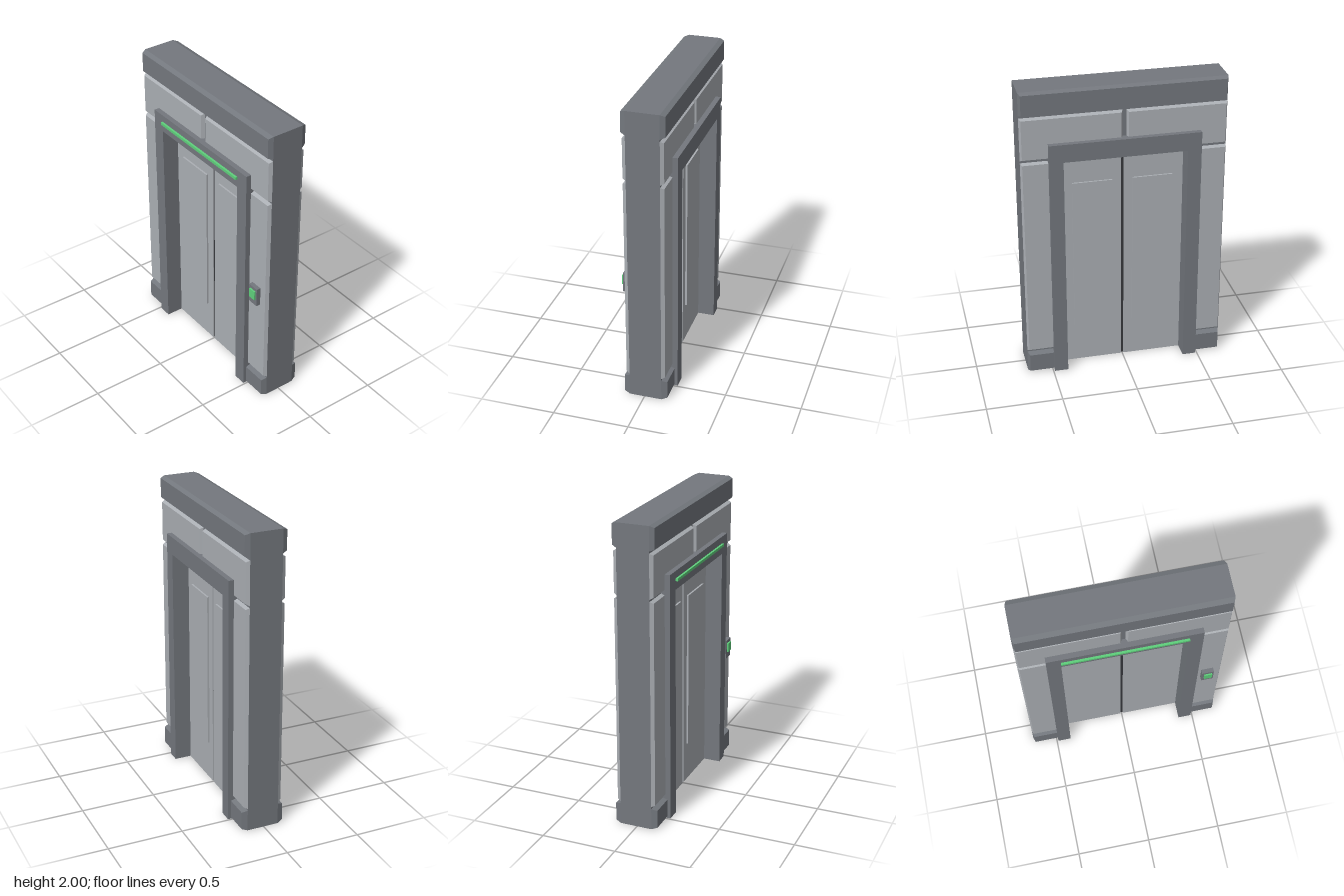
import * as THREE from 'three';

const ZC = -0.007;        // middle plane of the wall
const CORE = 0.107;       // half depth of the wall core
const HALF_W = 0.665;

const mat = (name, color) => new THREE.MeshStandardMaterial({ name, color });

export function createModel() {
  const group = new THREE.Group();
  group.name = 'elevatorDoorway';
  const dark = mat('darkGrey', 0x74787e);
  const light = mat('lightGrey', 0xabafb4);
  const seamMat = mat('charcoal', 0x36383c);
  const green = mat('signalGreen', 0x5fd07c);

  const add = (name, geo, material) => {
    const mesh = new THREE.Mesh(geo, material);
    mesh.name = name;
    group.add(mesh);
    return mesh;
  };

  // Box given by its limits on each axis
  const box = (name, material, x0, x1, y0, y1, z0, z1) => {
    const geo = new THREE.BoxGeometry(x1 - x0, y1 - y0, z1 - z0);
    geo.translate((x0 + x1) / 2, (y0 + y1) / 2, (z0 + z1) / 2);
    return add(name, geo, material);
  };

  // Slab on both wall faces whose outer faces are inset to make bevelled edges
  const slab = (name, material, x0, x1, y0, y1, half, bevel) => {
    for (const side of [1, -1]) {
      const depth = half - CORE;
      const geo = new THREE.BoxGeometry(x1 - x0, y1 - y0, depth);
      const p = geo.attributes.position;
      for (let i = 0; i < p.count; i++) {
        if (p.getZ(i) * side > 0) {
          p.setX(i, p.getX(i) - Math.sign(p.getX(i)) * bevel);
          p.setY(i, p.getY(i) - Math.sign(p.getY(i)) * bevel);
        }
      }
      geo.translate((x0 + x1) / 2, (y0 + y1) / 2, ZC + side * (CORE + depth / 2));
      const flat = geo.toNonIndexed();
      flat.computeVertexNormals();
      add(name + (side > 0 ? 'Front' : 'Back'), flat, material);
    }
  };

  // Doorway outline: a rectangle with an opening reaching the floor
  const arch = (name, material, w, h, ow, oh, half) => {
    const shape = new THREE.Shape([
      [-w, 0], [-ow, 0], [-ow, oh], [ow, oh], [ow, 0], [w, 0], [w, h], [-w, h],
    ].map(([x, y]) => new THREE.Vector2(x, y)));
    const geo = new THREE.ExtrudeGeometry(shape, { depth: half * 2, bevelEnabled: false });
    geo.translate(0, 0, ZC - half);
    add(name, geo, material);
  };

  // Wall core and door frame
  arch('wallCore', dark, HALF_W, 2, 0.42, 1.55, CORE);
  arch('doorFrame', dark, 0.49, 1.655, 0.4, 1.535, 0.165);

  // Cornice and wall cladding
  slab('cornice', dark, -HALF_W, HALF_W, 1.845, 2, 0.138, 0.012);
  for (const s of [1, -1]) {
    const side = s > 0 ? 'left' : 'right';
    const span = (a, b) => (s > 0 ? [a, b] : [-b, -a]);
    slab(side + 'UpperPanel', light, ...span(0.012, HALF_W), 1.547, 1.832, 0.13, 0.011);
    slab(side + 'LowerPanel', light, ...span(0.43, HALF_W), 0.158, 1.533, 0.13, 0.011);
    slab(side + 'Base', dark, ...span(0.43, HALF_W), 0, 0.145, 0.144, 0.012);

    // Sliding door leaf with a raised panel on both faces
    box(side + 'Door', light, ...span(0.009, 0.4), 0, 1.535, ZC - 0.05, ZC + 0.05);
    box(side + 'DoorPanel', light, ...span(0.065, 0.33), 0.27, 1.335, ZC - 0.062, ZC + 0.062);
  }
  box('doorSeam', seamMat, -0.009, 0.009, 0.002, 1.535, ZC - 0.042, ZC + 0.042);

  // Indicator light over the door
  box('indicatorLight', green, -0.4, 0.4, 1.59, 1.608, 0.15, 0.172);

  // Call button
  box('callPlate', dark, 0.525, 0.605, 0.737, 0.868, 0.12, 0.152);
  box('callButton', green, 0.54, 0.593, 0.782, 0.846, 0.145, 0.162);

  return group;
}
